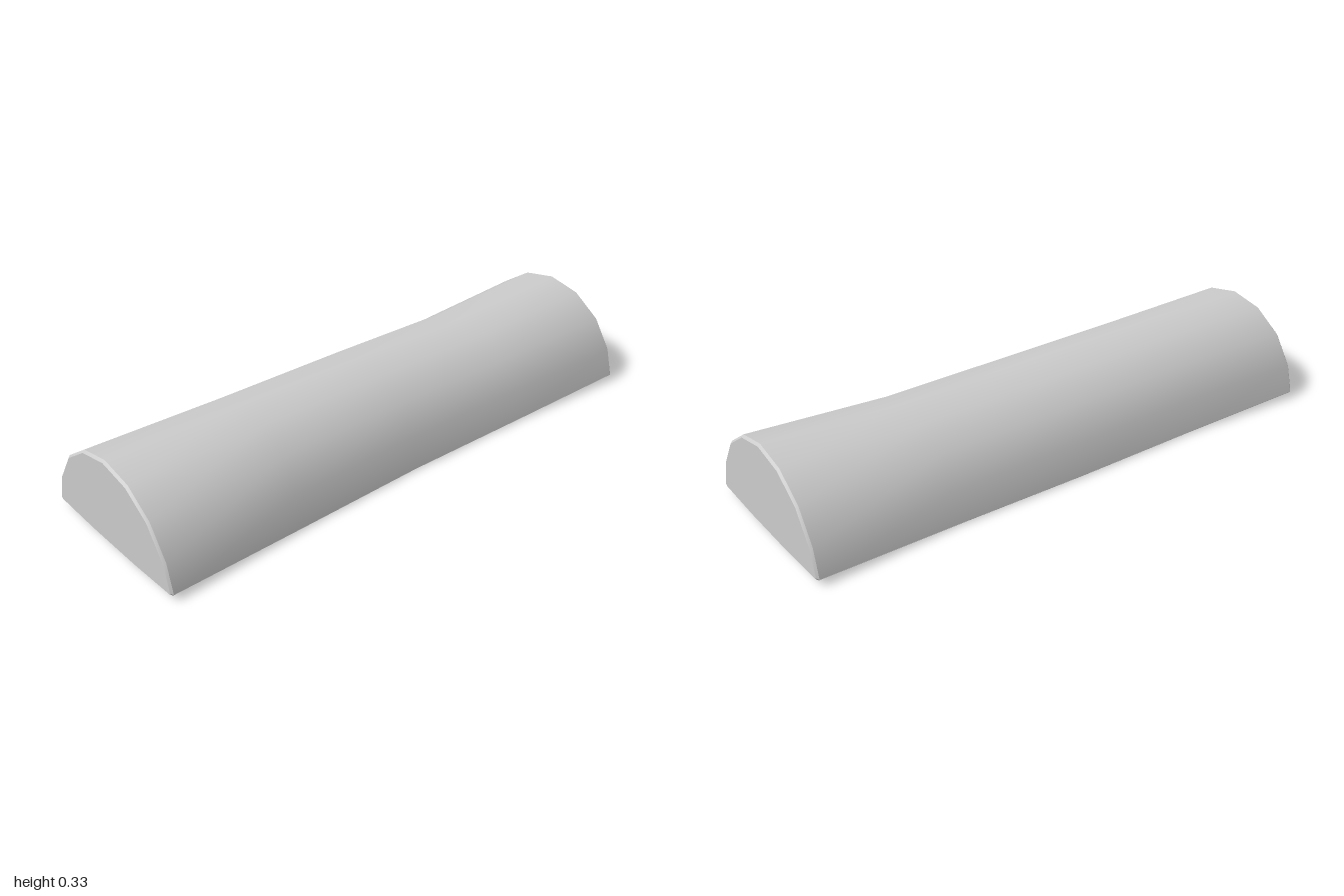
import * as THREE from 'three';
import { toCreasedNormals } from 'three/addons/utils/BufferGeometryUtils.js';

// Stations along the log: z, left (+x) half width, right (-x) half width,
// top height, edge height of the underside, middle height of the underside
const STATIONS = [
  [1, 0.318, 0.319, 0.321, 0.026, 0.019],
  [0.992, 0.325, 0.326, 0.329, 0.021, 0.016],
  [0.5, 0.297, 0.302, 0.324, 0.002, 0.002],
  [0, 0.287, 0.307, 0.318, 0.002, 0.003],
  [-0.5, 0.297, 0.302, 0.308, 0.002, 0.002],
  [-0.992, 0.325, 0.326, 0.329, 0.021, 0.016],
  [-1, 0.318, 0.319, 0.321, 0.026, 0.019],
];
const ARC = 8;

// Half-round cross-section, counter-clockwise as seen from the front
function section([z, left, right, top, edge, middle]) {
  const ring = [];
  for (let i = 0; i <= ARC; i++) {
    const a = (Math.PI * i) / ARC;
    const half = i <= ARC / 2 ? left : right;
    const y = Math.max(top * Math.sin(a), edge + 0.005);
    ring.push(new THREE.Vector3(half * Math.cos(a), y, z));
  }
  // Underside with a tiny bevel at both long edges
  ring.push(new THREE.Vector3(-right + 0.006, edge, z));
  for (const x of [-0.12, 0, 0.12]) ring.push(new THREE.Vector3(x, middle, z));
  ring.push(new THREE.Vector3(left - 0.006, edge, z));
  return ring;
}

function loft(rings) {
  const points = [];
  const n = rings[0].length;
  const tri = (...corners) => corners.forEach((p) => points.push(p));
  for (let i = 0; i < rings.length - 1; i++) {
    for (let j = 0; j < n; j++) {
      const k = (j + 1) % n;
      const a = rings[i][j], b = rings[i][k];
      const c = rings[i + 1][k], d = rings[i + 1][j];
      tri(a, d, c);
      tri(a, c, b);
    }
  }
  // End caps
  const front = rings[0], back = rings[rings.length - 1];
  const frontMid = new THREE.Vector3(0, 0.13, front[0].z);
  const backMid = new THREE.Vector3(0, 0.13, back[0].z);
  for (let j = 0; j < n; j++) {
    const k = (j + 1) % n;
    tri(frontMid, front[j], front[k]);
    tri(backMid, back[k], back[j]);
  }
  return new THREE.BufferGeometry().setFromPoints(points);
}

export function createModel() {
  const group = new THREE.Group();
  group.name = 'halfLog';
  const material = new THREE.MeshStandardMaterial({ color: 0xcccccc });
  const log = new THREE.Mesh(toCreasedNormals(loft(STATIONS.map(section)), 0.65), material);
  log.name = 'logBody';
  group.add(log);
  return group;
}
